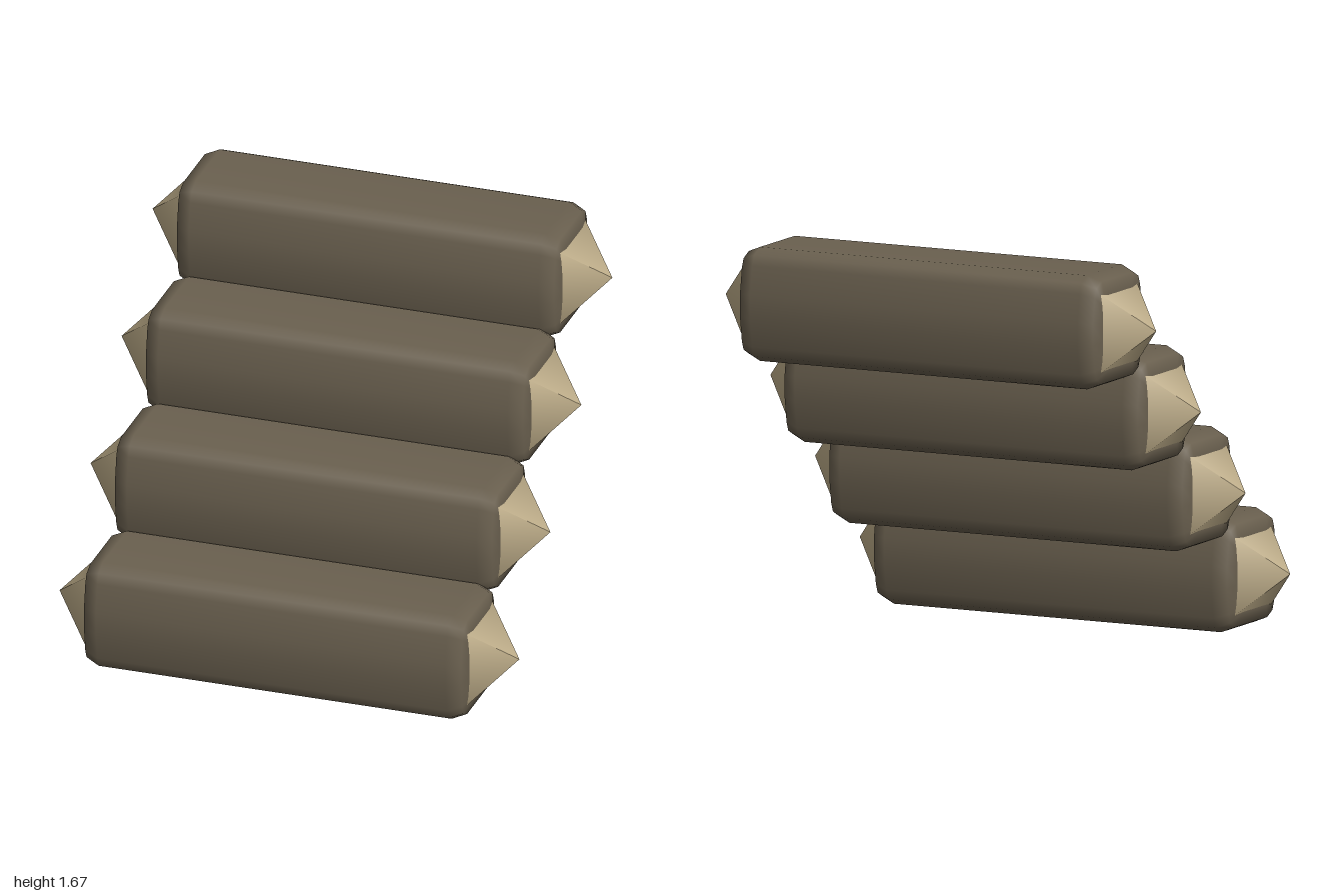
import * as THREE from 'three';

const darkWood = new THREE.MeshStandardMaterial({ color: 0x6a604f });
darkWood.name = 'darkWood';
const cutWood = new THREE.MeshStandardMaterial({ color: 0xbfae8a });
cutWood.name = 'cutWood';

// Sweeps a closed [z, y] section along x; stations are [x, scale] in rising x.
function loft(section, stations) {
  const n = section.length;
  const positions = [];
  const index = [];
  for (const [x, s] of stations) {
    for (const [z, y] of section) positions.push(x, y * s, z * s);
  }
  for (let i = 0; i < stations.length - 1; i++) {
    for (let j = 0; j < n; j++) {
      const a = i * n + j;
      const b = i * n + (j + 1) % n;
      index.push(a, a + n, b, b, a + n, b + n);
    }
  }
  const geometry = new THREE.BufferGeometry();
  geometry.setAttribute('position', new THREE.Float32BufferAttribute(positions, 3));
  geometry.setIndex(index);
  geometry.computeVertexNormals();
  return geometry;
}

// Mirrors a quarter profile into a full closed section.
function fullSection(quarter) {
  const half = [...quarter, ...quarter.map(([z, y]) => [-z, y]).reverse()];
  return [...half, ...half.map(([z, y]) => [-z, -y])];
}

export function createModel() {
  const group = new THREE.Group();
  group.name = 'logSteps';

  // Squared log with soft corners and slightly bulging sides
  const logSection = fullSection([[0.243, 0.05], [0.224, 0.17], [0.207, 0.212], [0.155, 0.238]]);
  const logGeometry = loft(logSection, [
    [-0.835, 0], [-0.835, 0.66], [-0.82, 0.9], [-0.76, 1],
    [0.76, 1], [0.82, 0.9], [0.835, 0.66], [0.835, 0],
  ]);

  // Pointed square ends
  const square = fullSection([[0.165, 0.165]]);
  const leftPoint = loft(square, [[0.825, 1], [1, 0]]);
  const rightPoint = loft(square, [[-1, 0], [-0.825, 1]]);

  // Four steps climbing towards the back
  for (let i = 0; i < 4; i++) {
    const step = new THREE.Group();
    step.name = `step${i + 1}`;
    const parts = [
      ['log', logGeometry, darkWood],
      ['leftEnd', leftPoint, cutWood],
      ['rightEnd', rightPoint, cutWood],
    ];
    for (const [name, geometry, material] of parts) {
      const mesh = new THREE.Mesh(geometry, material);
      mesh.name = name;
      step.add(mesh);
    }
    step.position.set(0, 0.238 + 0.398 * i, 0.597 - 0.398 * i);
    group.add(step);
  }
  return group;
}
